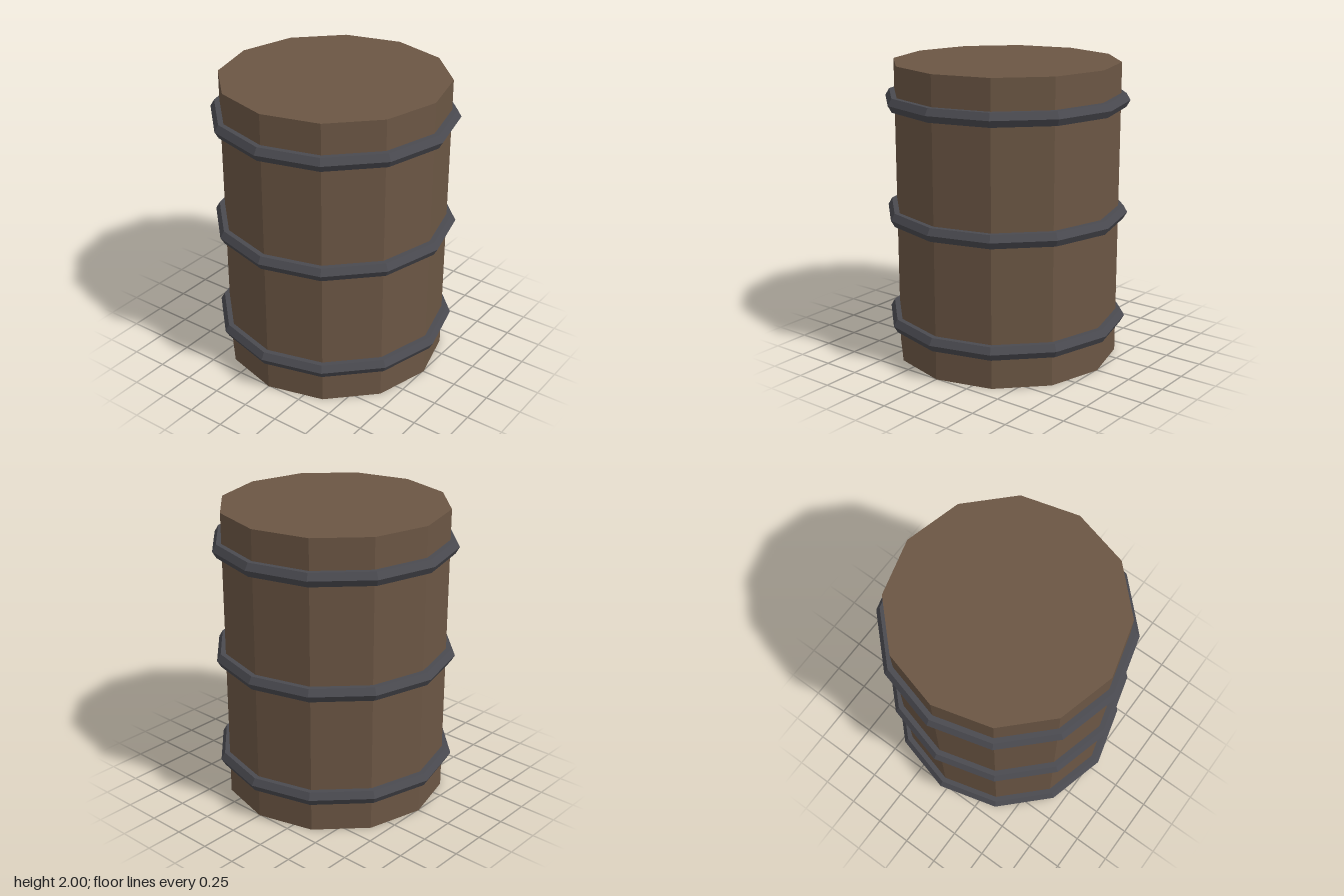
import * as THREE from 'three';

export function createModel() {
  const model = new THREE.Group();
  const wood = new THREE.MeshStandardMaterial({ name: 'brown wood', color: 0x6b5644 });
  const iron = new THREE.MeshStandardMaterial({ name: 'dark iron', color: 0x4a4a50 });
  wood.flatShading = iron.flatShading = true;

  // Twelve-sided straight body with closed ends
  const body = new THREE.Mesh(new THREE.CylinderGeometry(0.756, 0.756, 2, 12), wood);
  body.name = 'barrelBody';
  body.position.y = 1;
  model.add(body);

  // Three hoops with a six-sided section, corners aligned with the body
  const hoopGeometry = new THREE.TorusGeometry(0.765, 0.0525, 6, 12).rotateX(Math.PI / 2);
  [['lowerHoop', 0.255], ['middleHoop', 0.993], ['upperHoop', 1.752]].forEach(([name, y]) => {
    const hoop = new THREE.Mesh(hoopGeometry, iron);
    hoop.name = name;
    hoop.position.y = y;
    model.add(hoop);
  });

  return model;
}
